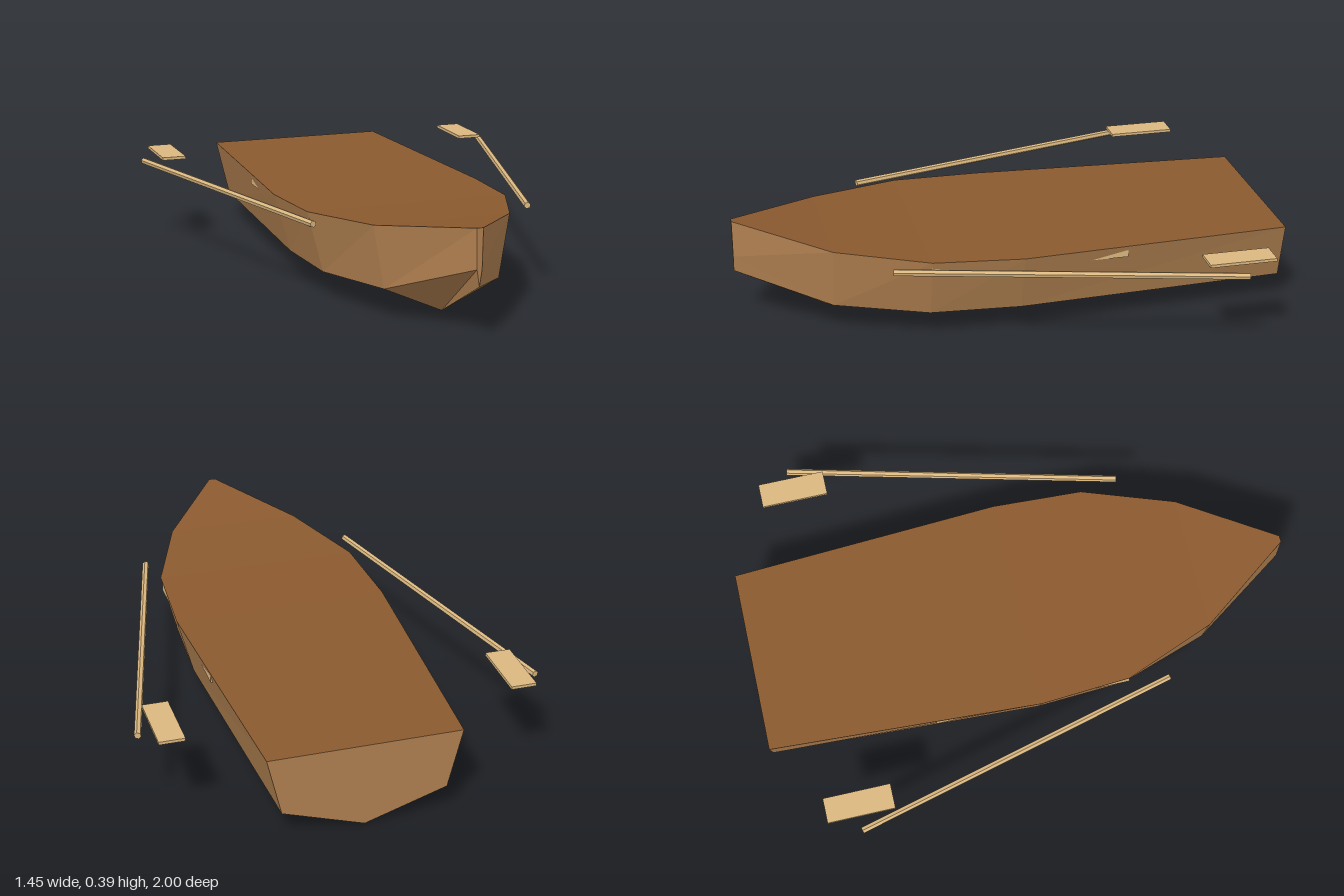
import * as THREE from 'three';

// Hull stations, stern to bow: z, gunwale half width and height, chine half width and height, keel height
const STATIONS = [
  [-1.0, 0.345, 0.312, 0.293, 0.096, 0.0],
  [0.0, 0.4, 0.315, 0.34, 0.096, 0.0],
  [0.333, 0.38, 0.325, 0.323, 0.1, 0.003],
  [0.667, 0.252, 0.344, 0.214, 0.115, 0.017],
  [1.0, 0.012, 0.392, 0.009, 0.25, 0.19],
];

// Flat-faced geometry from a list of quads and triangles given as corner loops
function facesGeometry(faces) {
  const pos = [];
  for (const f of faces)
    for (let i = 1; i < f.length - 1; i++) pos.push(...f[0], ...f[i], ...f[i + 1]);
  const g = new THREE.BufferGeometry();
  g.setAttribute('position', new THREE.Float32BufferAttribute(pos, 3));
  g.computeVertexNormals();
  return g;
}

// Section loop: left gunwale, left chine, keel, right chine, right gunwale
const section = ([z, w, top, cw, cy, keel]) =>
  [[w, top, z], [cw, cy, z], [0, keel, z], [-cw, cy, z], [-w, top, z]];

export function createModel() {
  const material = (name, color) => {
    const m = new THREE.MeshStandardMaterial({ color, flatShading: true, side: THREE.DoubleSide });
    m.name = name;
    return m;
  };
  const hullWood = material('hull wood', 0xb08050);
  const deckWood = material('deck wood', 0x8b5a2f);
  const paleWood = material('pale wood', 0xdcb880);

  const boat = new THREE.Group();
  boat.name = 'rowingBoat';
  const add = (name, geometry, mat, parent = boat) => {
    const mesh = new THREE.Mesh(geometry, mat);
    mesh.name = name;
    parent.add(mesh);
    return mesh;
  };

  // Hull planking, transom and stem; deck spans the gunwales
  const loops = STATIONS.map(section);
  const planks = [], deck = [];
  for (let s = 0; s < loops.length - 1; s++) {
    const a = loops[s], b = loops[s + 1];
    for (let i = 0; i < 4; i++) planks.push([a[i], b[i], b[i + 1], a[i + 1]]);
    deck.push([a[0], a[4], b[4], b[0]]);
  }
  planks.push(loops[0], [...loops[loops.length - 1]].reverse());
  add('hull', facesGeometry(planks), hullWood);
  add('deck', facesGeometry(deck), deckWood);

  // Bench ends just break through the sides
  for (const [name, z] of [['frontBench', 0.235], ['rearBench', -0.29]])
    add(name, new THREE.BoxGeometry(0.748, 0.034, 0.2), paleWood).position.set(0, 0.287, z);

  // Oars with flat blades, mirrored
  for (const side of [1, -1]) {
    const oar = new THREE.Group();
    oar.name = side > 0 ? 'leftOar' : 'rightOar';
    boat.add(oar);
    const from = new THREE.Vector3(side * 0.405, 0.316, 0.477);
    const to = new THREE.Vector3(side * 0.715, 0.316, -0.732);
    const dir = to.clone().sub(from);
    const shaft = add('oarShaft', new THREE.CylinderGeometry(0.0125, 0.0125, dir.length(), 6), paleWood, oar);
    shaft.position.copy(from).lerp(to, 0.5);
    shaft.quaternion.setFromUnitVectors(new THREE.Vector3(0, 1, 0), dir.normalize());
    add('oarBlade', new THREE.BoxGeometry(0.092, 0.011, 0.246), paleWood, oar)
      .position.set(side * 0.624, 0.346, -0.723);
  }
  return boat;
}
